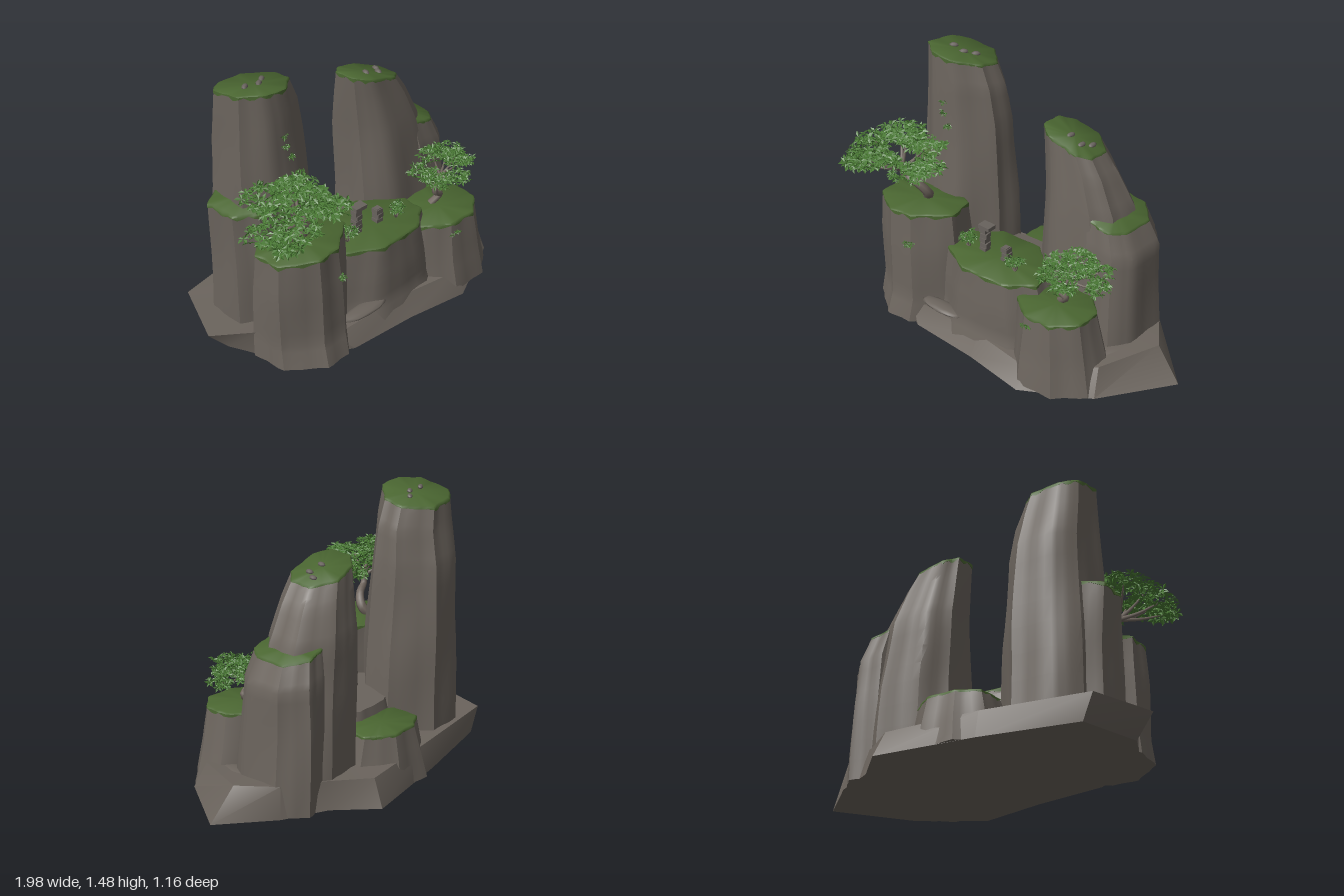
import * as THREE from 'three';
import { toCreasedNormals } from 'three/addons/utils/BufferGeometryUtils.js';

const mat = (name, color, side = THREE.FrontSide) => {
  const m = new THREE.MeshStandardMaterial({ color, side });
  m.name = name;
  return m;
};
const V = (x, y, z) => new THREE.Vector3(x, y, z);

function seeded(seed) {
  let s = seed * 7919 + 13;
  return () => (s = (s * 16807) % 2147483647) / 2147483647;
}

// Skin closed rings (counter-clockwise from above, lowest first) and cap both ends
function loft(rings, crease = 0.6) {
  const n = rings[0].length, pts = rings.flat(), idx = [];
  for (let r = 0; r < rings.length - 1; r++) {
    for (let i = 0; i < n; i++) {
      const a = r * n + i, b = r * n + (i + 1) % n;
      idx.push(a, b, b + n, a, b + n, a + n);
    }
  }
  const centre = ring => ring.reduce((c, p) => c.add(p), V(0, 0, 0)).divideScalar(n);
  const low = pts.length, high = low + 1, last = (rings.length - 1) * n;
  const all = [...pts, centre(rings[0]), centre(rings.at(-1))];
  for (let i = 0; i < n; i++) {
    const j = (i + 1) % n;
    idx.push(low, j, i, high, last + i, last + j);
  }
  const g = new THREE.BufferGeometry().setFromPoints(all);
  g.setIndex(idx);
  g.computeVertexNormals();
  return toCreasedNormals(g, crease);
}

// Irregular octagon with split edges, fitted to the -1..1 square
function outline(seed) {
  const rnd = seeded(seed), c = [];
  for (let i = 0; i < 8; i++) {
    const a = (i + 0.3 + rnd() * 0.45) * Math.PI / 4;
    c.push([Math.cos(a), -Math.sin(a)]);
  }
  const out = [];
  c.forEach((p, i) => {
    const q = c[(i + 1) % 8];
    for (let k = 0; k < 5; k++) out.push([0, 1].map(d => p[d] + (q[d] - p[d]) * k / 5));
  });
  const lim = [0, 1].map(d => [Math.min(...out.map(p => p[d])), Math.max(...out.map(p => p[d]))]);
  return out.map(p => p.map((v, d) => 2 * (v - lim[d][0]) / (lim[d][1] - lim[d][0]) - 1));
}

export function createModel() {
  const model = new THREE.Group();
  model.name = 'rockIsland';
  const rockMat = mat('rock', 0x6b645d);
  const grassMat = mat('grass', 0x4a6631);
  const leafMat = mat('leaf', 0x4a7a34, THREE.DoubleSide);
  const barkMat = mat('bark', 0x70665e);
  const stoneMat = mat('stone', 0x68625d);
  const add = (name, geometry, material, parent = model) => {
    const m = new THREE.Mesh(geometry, material);
    m.name = name;
    parent.add(m);
    return m;
  };

  // Rock column from levels [y, xMin, xMax, zMin, zMax], tilted at the top, with a grass cap
  function rock(name, seed, levels, tiltX = 0, tiltZ = 0, grassy = true) {
    const shape = outline(seed), top = levels.at(-1)[0], rings = [];
    const ringAt = ([y, x0, x1, z0, z1]) => shape.map(([u, v]) => {
      const a = Math.atan2(v, u), w = (y / top) ** 4;
      const k = 1 + 0.015 * Math.sin(11 * a + seed) + 0.018 * Math.sin(7 * y + 3 * a + seed * 2) - 0.015;
      const hx = (x1 - x0) / 2 * u * k, hz = (z1 - z0) / 2 * v * k;
      return V((x0 + x1) / 2 + hx, y + w * (tiltX * hx + tiltZ * hz), (z0 + z1) / 2 + hz);
    });
    for (let l = 0; l < levels.length - 1; l++) {
      for (let s = 0; s < 4; s++) {
        rings.push(ringAt(levels[l].map((v, i) => v + (levels[l + 1][i] - v) * s / 4)));
      }
    }
    const rim = ringAt(levels.at(-1));
    rings.push(rim);
    add(name, loft(rings), rockMat);
    if (!grassy) return;
    const c = rim.reduce((s, p) => s.add(p), V(0, 0, 0)).divideScalar(rim.length);
    const scaled = (k, dy) => rim.map((p, i) => {
      const q = c.clone().lerp(p, k);
      q.y += typeof dy === 'number' ? dy : dy(i);
      return q;
    });
    add(name + 'Grass', loft([
      scaled(1.015, i => -0.014 - 0.01 * Math.sin(i * 1.9 + seed)),
      scaled(1.012, 0), scaled(0.96, 0.007)], 0.9), grassMat);
  }

  rock('tallTower', 3, [[0.02, -0.76, -0.22, -0.37, 0.16], [0.6, -0.75, -0.235, -0.365, 0.14],
    [1.1, -0.735, -0.28, -0.34, 0.1], [1.3, -0.73, -0.31, -0.3, 0.085], [1.43, -0.725, -0.36, -0.28, 0.075]], -0.1, 0.2);
  rock('tallTowerShoulder', 5, [[0.02, -0.82, -0.4, -0.29, 0.14], [0.5, -0.82, -0.4, -0.28, 0.13],
    [0.84, -0.83, -0.42, -0.25, 0.11]], 0.08);
  rock('shortTower', 8, [[0.02, 0.08, 0.66, -0.37, 0.15], [0.5, 0.08, 0.62, -0.355, 0.12],
    [0.88, 0.07, 0.54, -0.33, 0.07], [1.08, 0.06, 0.45, -0.28, 0.04], [1.19, 0.055, 0.38, -0.25, 0.025]], -0.3, 0.1);
  rock('shortTowerShoulder', 11, [[0.02, 0.38, 0.73, -0.37, 0.13], [0.45, 0.38, 0.7, -0.36, 0.1],
    [0.7, 0.37, 0.69, -0.345, 0.08], [0.84, 0.36, 0.63, -0.31, 0.05]], -0.25);
  rock('leftLedge', 14, [[0.02, -0.82, -0.27, 0, 0.5], [0.15, -0.81, -0.27, 0, 0.465],
    [0.45, -0.81, -0.28, 0, 0.46], [0.67, -0.8, -0.3, 0.03, 0.44]], 0.04, 0.03);
  rock('middleLedge', 17, [[0.02, -0.5, 0.42, -0.08, 0.47], [0.16, -0.46, 0.38, -0.06, 0.43],
    [0.3, -0.42, 0.34, -0.04, 0.425], [0.49, -0.35, 0.28, -0.01, 0.41]], -0.02);
  rock('rightLedge', 20, [[0.02, 0.15, 0.72, 0.02, 0.5], [0.2, 0.16, 0.68, 0.04, 0.47],
    [0.43, 0.19, 0.63, 0.07, 0.445]], 0.02);
  rock('backLedge', 23, [[0.02, -0.32, 0.24, -0.52, 0], [0.17, -0.28, 0.2, -0.49, -0.05],
    [0.31, -0.25, 0.17, -0.455, -0.13]]);
  rock('saddle', 26, [[0.02, -0.4, 0.25, -0.28, 0.2], [0.4, -0.35, 0.2, -0.2, 0.15]], 0, 0.2, false);

  // Spreading skirt of slabs round the foot
  const foot = [[0.99, 0.02, -0.04], [0.72, 0.02, -0.27], [0.48, 0.02, -0.38], [0.28, 0.015, -0.57],
    [-0.27, 0.02, -0.47], [-0.8, 0.02, -0.34], [-0.88, 0.02, 0.02], [-0.74, 0.02, 0.3],
    [-0.4, 0.02, 0.48], [0, 0.01, 0.49], [0.36, 0, 0.53], [0.73, 0.02, 0.34]];
  const brow = [[0.84, 0.19, -0.06], [0.7, 0.19, -0.25], [0.47, 0.17, -0.35], [0.26, 0.16, -0.5],
    [-0.27, 0.17, -0.44], [-0.86, 0.16, -0.34], [-0.99, 0.14, 0], [-0.8, 0.17, 0.18],
    [-0.5, 0.12, 0.42], [0, 0.12, 0.42], [0.36, 0.1, 0.45], [0.7, 0.17, 0.27]];
  add('rockSkirt', loft([foot, brow].map(r => r.map(p => V(...p)))), rockMat);
  // Overhanging lips along the front and the right flank
  for (const [x, y, z, sx, sy, sz, turn] of [[-0.27, 0.165, 0.41, 0.15, 0.018, 0.05, 0], [0.67, 0.16, 0.03, 0.18, 0.025, 0.07, 1.4]]) {
    const lip = add('rockLip', new THREE.IcosahedronGeometry(1, 1), rockMat);
    lip.position.set(x, y, z);
    lip.scale.set(sx, sy, sz);
    lip.rotation.y = turn;
  }

  // Pebbles on the tower tops
  for (const [x, y, z] of [[-0.61, 1.451, -0.09], [-0.53, 1.443, -0.08], [-0.48, 1.43, -0.12],
    [0.2, 1.206, -0.09], [0.28, 1.184, -0.08], [0.31, 1.17, -0.13]]) {
    const p = add('pebble', new THREE.SphereGeometry(0.026, 7, 5), stoneMat);
    p.position.set(x, y, z);
    p.scale.set(0.6, 0.5, 1);
    p.rotation.y = -0.4 + x;
  }

  // Stacked stone posts
  function post(x, z, blocks, cap) {
    const g = new THREE.Group();
    g.name = 'stonePost';
    g.position.set(x, 0.49, z);
    model.add(g);
    for (let i = 0; i < blocks; i++) {
      const b = add('postBlock', new THREE.BoxGeometry(0.042, 0.026, 0.042), stoneMat, g);
      b.position.set(i % 2 * 0.004, 0.013 + i * 0.03, 0);
      b.rotation.y = i % 2 * 0.12;
      add('postJoint', new THREE.BoxGeometry(0.032, 0.006, 0.032), stoneMat, g).position.y = 0.028 + i * 0.03;
    }
    if (cap) add('postCap', new THREE.BoxGeometry(0.075, 0.022, 0.055), stoneMat, g).position.set(0.015, blocks * 0.03 + 0.011, 0);
  }
  post(-0.14, 0.205, 5, true);
  post(0.012, 0.205, 3, false);

  // Tapered tube for trunks and branches
  function branch(name, points, r0, r1) {
    const curve = new THREE.CatmullRomCurve3(points), g = new THREE.TubeGeometry(curve, 12, r0, 7);
    const p = g.attributes.position, v = V(0, 0, 0);
    for (let i = 0; i < p.count; i++) {
      const t = Math.floor(i / 8) / 12, c = curve.getPointAt(t);
      v.fromBufferAttribute(p, i).sub(c).multiplyScalar(1 + (r1 / r0 - 1) * t).add(c);
      p.setXYZ(i, v.x, v.y, v.z);
    }
    add(name, g, barkMat);
  }

  // Rosettes of five pointed leaves scattered through flattened pads [x, y, z, radius]
  function foliage(name, pads, count, size, seed, flat = 0.45) {
    const rnd = seeded(seed), pts = [];
    for (const [x, y, z, r] of pads) for (let i = 0; i < count; i++) {
      const a = rnd() * Math.PI * 2, d = Math.sqrt(rnd()) * r, h = (rnd() * 1.5 - 0.5) * flat * Math.sqrt(r * r - d * d);
      const m = new THREE.Matrix4().makeRotationFromEuler(new THREE.Euler((rnd() - 0.5) * 1.5, rnd() * 6.3, (rnd() - 0.5) * 1.5));
      m.setPosition(x + Math.cos(a) * d, y + h, z + Math.sin(a) * d);
      for (let k = 0; k < 5; k++) {
        const t = k * 1.257, s = size * (0.8 + 0.4 * rnd());
        const at = (ang, l, up) => V(Math.cos(ang) * l, up, -Math.sin(ang) * l).applyMatrix4(m);
        const o = at(0, 0, 0), e = at(t - 0.42, s * 0.6, 0.003), f = at(t, s, -0.004), g = at(t + 0.42, s * 0.6, 0.003);
        pts.push(o, e, f, o, f, g);
      }
    }
    const geo = new THREE.BufferGeometry().setFromPoints(pts);
    geo.computeVertexNormals();
    add(name, geo, leafMat);
  }

  function tree(name, trunk, r, pads, count, size, seed) {
    const path = trunk.map(p => V(...p)), tip = path.at(-1);
    branch(name + 'Trunk', path, r, r * 0.5);
    for (const [x, y, z] of pads) {
      branch(name + 'Branch', [tip, V((tip.x + x) / 2, (tip.y + y) / 2 - 0.01, (tip.z + z) / 2), V(x, y, z)], r * 0.4, r * 0.12);
    }
    foliage(name + 'Leaves', pads, count, size, seed);
  }
  tree('leftTree', [[-0.56, 0.66, 0.2], [-0.52, 0.72, 0.24], [-0.55, 0.78, 0.28], [-0.62, 0.82, 0.31], [-0.63, 0.86, 0.32]], 0.032,
    [[-0.74, 0.99, 0.2, 0.12], [-0.55, 0.98, 0.2, 0.11], [-0.48, 0.91, 0.29, 0.09], [-0.87, 0.9, 0.34, 0.1],
      [-0.77, 1.0, 0.37, 0.1], [-0.72, 0.94, 0.46, 0.1], [-0.82, 0.89, 0.46, 0.08], [-0.48, 0.93, 0.42, 0.09],
      [-0.64, 1.03, 0.26, 0.09], [-0.6, 0.99, 0.46, 0.07]], 42, 0.034, 4);
  tree('rightTree', [[0.4, 0.43, 0.22], [0.45, 0.48, 0.24], [0.4, 0.52, 0.25], [0.42, 0.56, 0.24], [0.46, 0.59, 0.23]], 0.022,
    [[0.36, 0.64, 0.19, 0.075], [0.47, 0.69, 0.16, 0.085], [0.59, 0.65, 0.15, 0.085], [0.64, 0.61, 0.22, 0.06],
      [0.54, 0.69, 0.26, 0.08], [0.4, 0.62, 0.29, 0.075], [0.5, 0.61, 0.33, 0.065]], 38, 0.027, 9);

  // Shrubs on the middle ledge
  for (const [x, z, s] of [[-0.23, 0.24, 1], [0.11, 0.25, 2]]) {
    for (const d of [-0.03, 0, 0.03]) branch('shrubStem', [V(x, 0.49, z), V(x + d * 0.6, 0.52, z), V(x + d, 0.56, z + d * 0.5)], 0.005, 0.002);
    foliage('shrubLeaves', [[x, 0.555, z, 0.048]], 32, 0.02, s, 0.8);
  }
  // Tufts clinging to the cliffs
  foliage('cliffTufts', [[-0.52, 1.21, 0.085, 0.022], [-0.515, 1.15, 0.09, 0.022], [-0.49, 1.08, 0.1, 0.016],
    [-0.47, 0.51, 0.45, 0.025], [0.36, 0.365, 0.455, 0.025]], 7, 0.018, 6, 0.8);

  return model;
}
